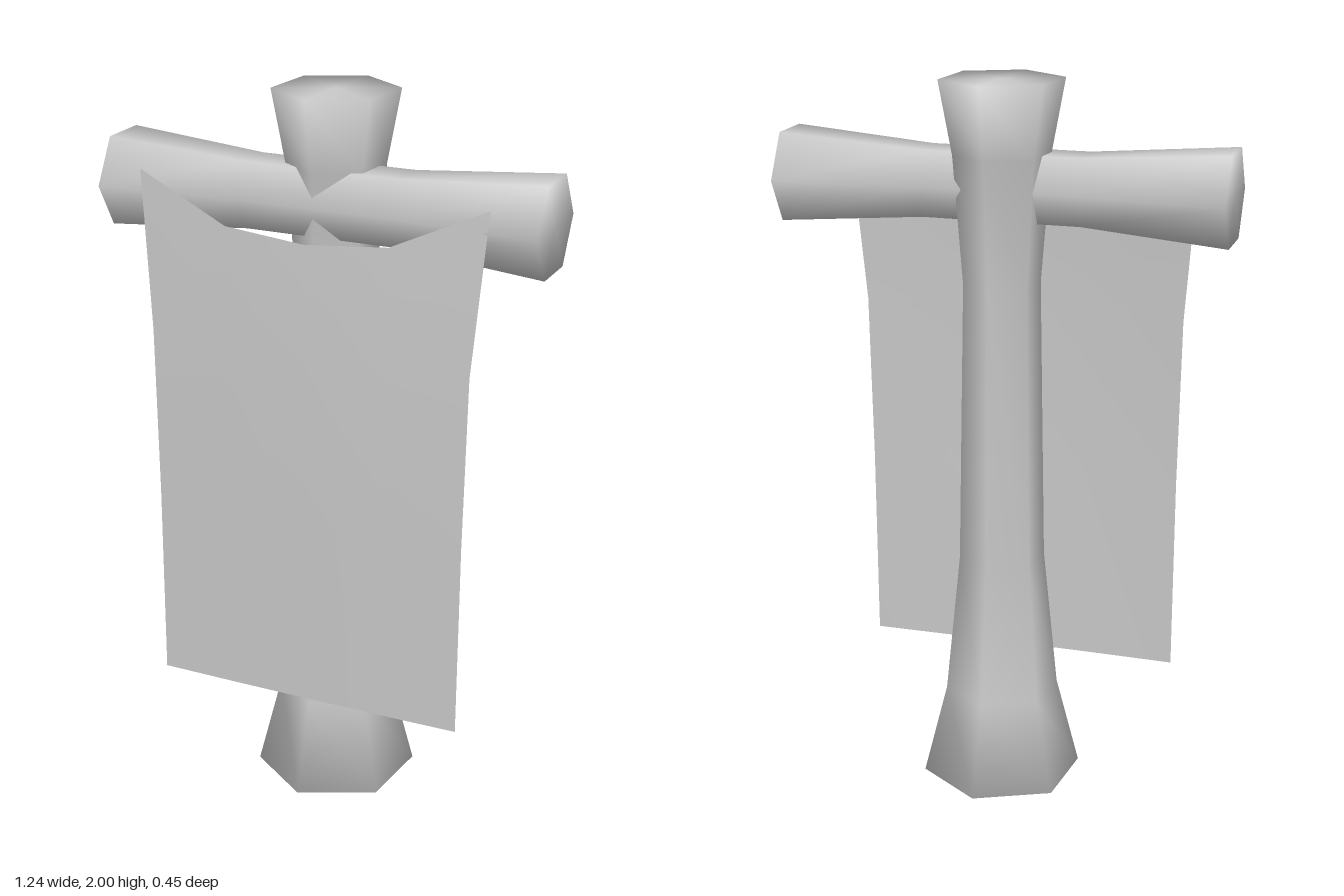
import * as THREE from 'three';
import { mergeVertices } from 'three/addons/utils/BufferGeometryUtils.js';

// Six-sided closed solid of [radius, height] rings, smooth across its end caps
function hexSolid(rings, phi) {
  const points = [[0, rings[0][1]], ...rings, [0, rings[rings.length - 1][1]]];
  const raw = new THREE.LatheGeometry(points.map(([r, y]) => new THREE.Vector2(r, y)), 6, phi);
  raw.deleteAttribute('normal');
  raw.deleteAttribute('uv');
  const geometry = mergeVertices(raw, 1e-4);
  geometry.computeVertexNormals();
  return geometry;
}

// Hanging sheet: sagging top edge, sides drawn in, middle bowed forward
function clothGeometry() {
  const across = [-1, -0.47, 0, 0.47, 1];
  const topY = [1.77, 1.65, 1.63, 1.65, 1.77];
  const rows = [ // y, half width, z at the sides, z in the middle
    [null, 0.495, 0.16, 0.19],
    [1.33, 0.46, 0.182, 0.203],
    [0.85, 0.452, 0.187, 0.203],
    [0.3, 0.45, 0.193, 0.197],
  ];
  const geometry = new THREE.PlaneGeometry(1, 1, across.length - 1, rows.length - 1);
  const position = geometry.attributes.position;
  rows.forEach(([y, half, zSide, zMid], j) => across.forEach((u, i) => {
    const z = zMid + (zSide - zMid) * u * u;
    position.setXYZ(j * across.length + i, u * half - 0.004, y ?? topY[i], z);
  }));
  geometry.computeVertexNormals();
  return geometry;
}

export function createModel() {
  const group = new THREE.Group();
  const grey = new THREE.MeshStandardMaterial({ color: 0xc8c8c8 });
  grey.name = 'plain grey';
  const clothGrey = new THREE.MeshStandardMaterial({ color: 0xc8c8c8, side: THREE.DoubleSide });
  clothGrey.name = 'cloth grey';

  const add = (name, geometry, material) => {
    const mesh = new THREE.Mesh(geometry, material);
    mesh.name = name;
    group.add(mesh);
  };

  // Upright post, flared at the foot and the head
  const postRings = [[0.226, 0], [0.16, 0.26], [0.12, 0.66], [0.106, 1.45], [0.133, 1.8], [0.17, 2]];
  add('post', hexSolid(postRings, THREE.MathUtils.degToRad(-5)), grey);

  // Crossbeam, wider towards both ends
  const beamRings = [[0.14, -0.62], [0.105, -0.22], [0.105, 0.22], [0.14, 0.62]];
  const beam = hexSolid(beamRings, 0);
  beam.rotateZ(-Math.PI / 2);
  beam.translate(0, 1.712, 0.037);
  add('crossbeam', beam, grey);

  // Banner cloth
  add('bannerCloth', clothGeometry(), clothGrey);

  return group;
}
